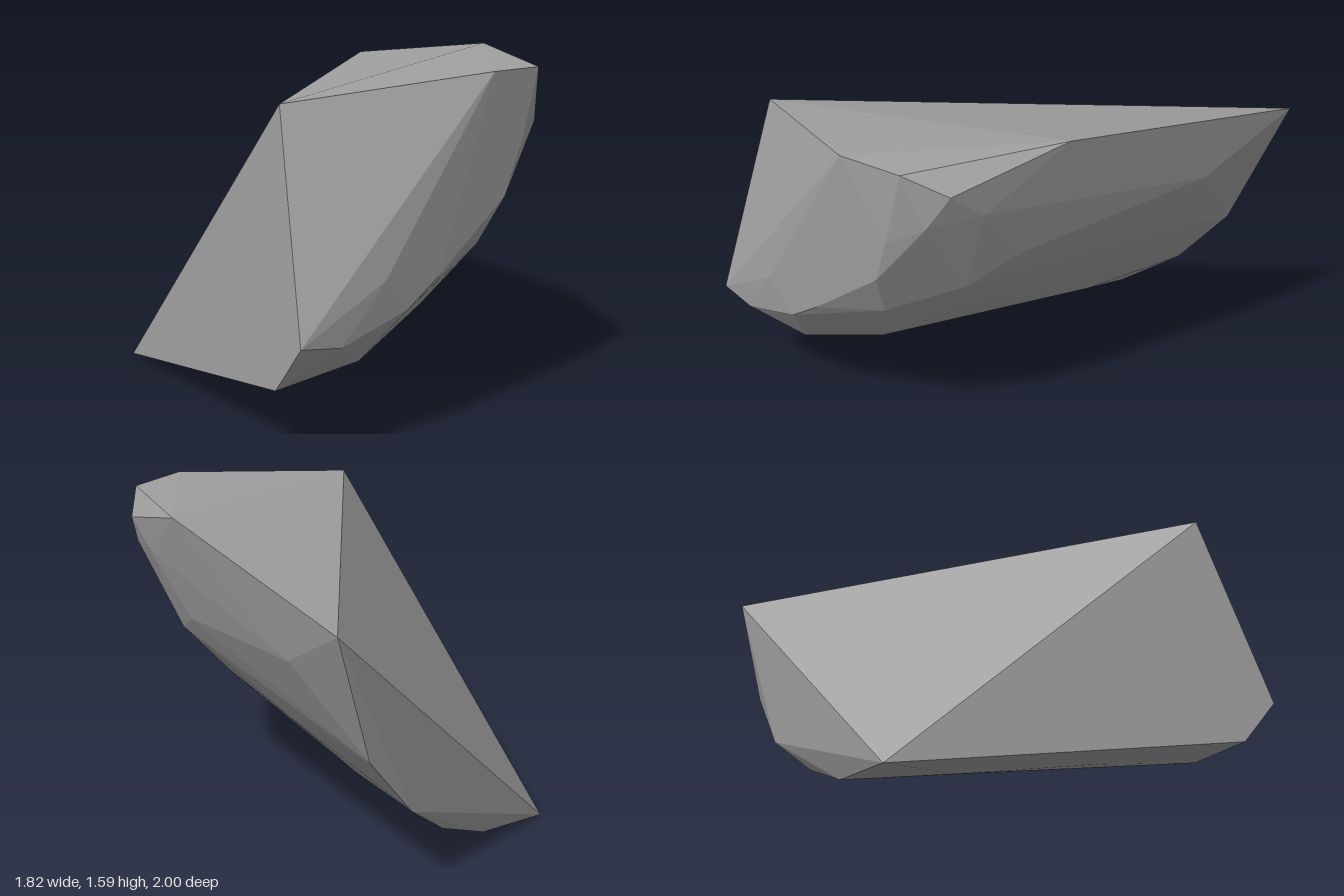
import * as THREE from 'three';
import { ConvexGeometry } from 'three/addons/geometries/ConvexGeometry.js';

export function createModel() {
  const model = new THREE.Group();
  model.name = 'rock';
  const stone = new THREE.MeshStandardMaterial({ color: 0xa0a0a0, flatShading: true });
  stone.name = 'grey stone';

  // Corners of the faceted chunk, grouped by area
  const slopeCorners = [[-0.7, 0, -0.81], [0.91, 1.43, -1], [-0.81, 1.46, 0.7]];
  const topRim = [[0.08, 1.555, 0.99], [0.39, 1.55, 0.935], [0.69, 1.585, 0.26], [0.53, 1.45, 0.79]];
  const backRim = [[0.66, 0.8, -0.935], [0.385, 0.47, -0.925], [0.085, 0.24, -0.845], [-0.24, 0.085, -0.82]];
  const frontRim = [
    [-0.91, 0.53, 0.98], [-0.71, 0.5, 0.98], [-0.36, 0.6, 0.975], [-0.19, 0.71, 0.965],
    [0, 0.85, 0.95], [0.21, 1, 0.935], [0.29, 1.21, 0.94], [0.45, 1.3, 0.86], [-0.5, 0.75, 1],
  ];
  const belly = [
    [-0.91, 0.31, 0.8], [-0.5, 0.36, 0.82], [-0.06, 0.5, 0.69], [0.14, 0.78, 0.84],
    [0.4, 0.91, 0.59], [0.55, 1.32, 0.62], [0.52, 1.04, 0.37], [0.26, 0.69, 0.41],
    [0.77, 1.17, -0.57], [0.39, 0.67, -0.15], [0.21, 0.41, -0.42],
    [-0.65, 0.19, 0.2], [-0.6, 0.05, -0.45],
  ];

  const points = [slopeCorners, topRim, backRim, frontRim, belly]
    .flat()
    .map((p) => new THREE.Vector3(...p));
  const body = new THREE.Mesh(new ConvexGeometry(points), stone);
  body.name = 'rockBody';
  model.add(body);
  return model;
}
